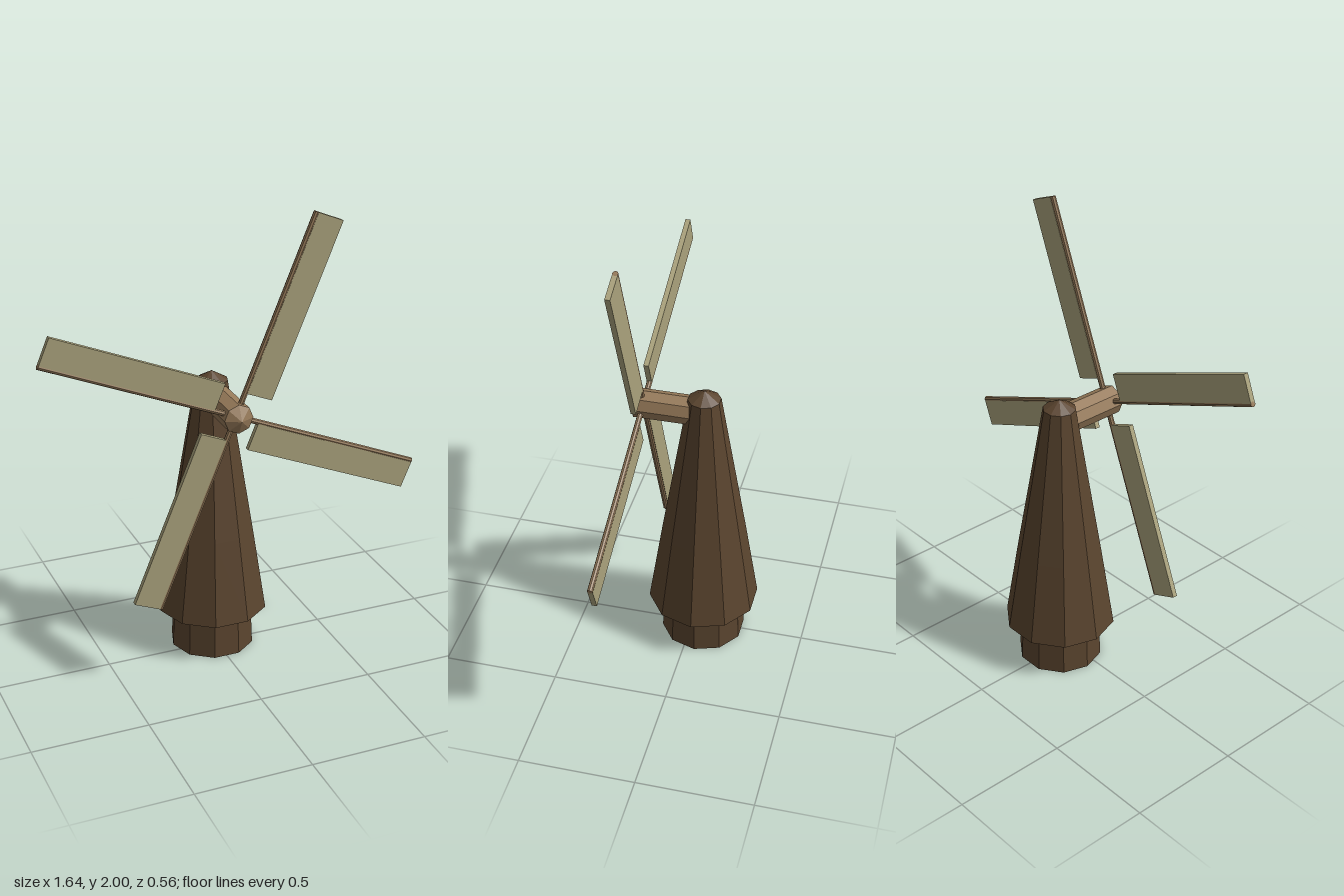
import * as THREE from 'three';

const paint = (color) => new THREE.MeshStandardMaterial({ color, flatShading: true });
const darkWood = paint(0x5b452f);
const lightWood = paint(0x977b5a);
const canvas = paint(0xaaa27c);

function part(name, geometry, material, parent) {
  const mesh = new THREE.Mesh(geometry, material);
  mesh.name = name;
  parent.add(mesh);
  return mesh;
}

// Faceted solid turned around y from a bottom-to-top profile of [radius, height]
function turned(profile, sides, start) {
  const points = profile.map(([r, y]) => new THREE.Vector2(r, y));
  return new THREE.LatheGeometry(points, sides, start);
}

export function createModel() {
  const model = new THREE.Group();
  model.name = 'windmill';
  const hubY = 1.175, sailZ = 0.213, towerZ = -0.048;

  // Ten-sided tower with a narrower foot and a low pointed cap
  const tower = new THREE.Group();
  tower.name = 'tower';
  tower.position.z = towerZ;
  model.add(tower);
  const turn = Math.PI / 10;
  part('foot', turned([[0, 0], [0.184, 0], [0.176, 0.19]], 10, turn), darkWood, tower);
  part('towerBody', turned([[0, 0.185], [0.242, 0.185], [0.183, 0.56], [0.07, 1.24]], 10, turn), darkWood, tower);
  part('towerCap', turned([[0.07, 1.24], [0, 1.28]], 10, turn), darkWood, tower);

  // Axle with a blunt pointed nose, laid along z
  const axle = part('axle', turned([[0, 0], [0.063, 0], [0.063, 0.246], [0, 0.278]], 8, 0), lightWood, model);
  axle.rotation.x = Math.PI / 2;
  axle.position.y = hubY;

  // Four sails: a spar with a flat panel along its clockwise side
  const sails = new THREE.Group();
  sails.name = 'sails';
  sails.position.set(0, hubY, sailZ);
  model.add(sails);
  for (let i = 0; i < 4; i++) {
    const sail = new THREE.Group();
    sail.name = 'sail' + (i + 1);
    sail.rotation.z = -Math.PI / 8 - i * Math.PI / 2;
    sails.add(sail);
    const spar = part('spar', new THREE.CylinderGeometry(0.012, 0.012, 0.885, 8), lightWood, sail);
    spar.position.y = 0.885 / 2;
    const panel = part('panel', new THREE.BoxGeometry(0.118, 0.78, 0.022), canvas, sail);
    panel.position.set(0.064, 0.495, 0);
  }
  return model;
}
